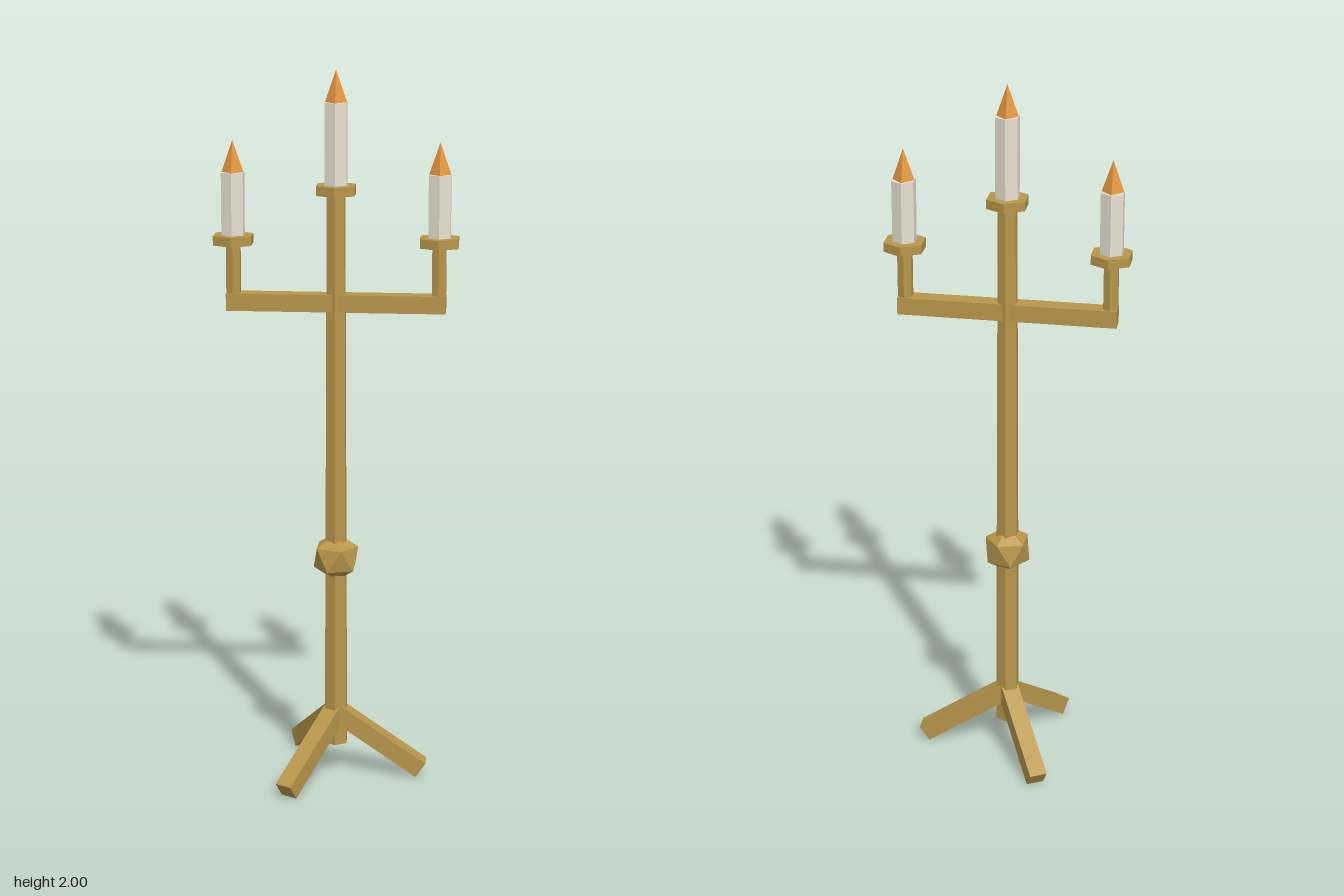
import * as THREE from 'three';

export function createModel() {
  const mat = (name, color) => {
    const m = new THREE.MeshStandardMaterial({ color });
    m.name = name;
    m.flatShading = true;
    return m;
  };
  const brass = mat('brass', 0xb8964a);
  const wax = mat('wax', 0xe8e2d2);
  const flameOrange = mat('flame orange', 0xe89a40);

  const model = new THREE.Group();
  model.name = 'candelabra';

  const add = (parent, name, geometry, material, x = 0, y = 0, z = 0) => {
    const mesh = new THREE.Mesh(geometry, material);
    mesh.name = name;
    mesh.position.set(x, y, z);
    parent.add(mesh);
    return mesh;
  };

  // Tapered prism standing between two heights
  const column = (parent, name, material, rTop, rBottom, y0, y1, sides = 6) =>
    add(parent, name, new THREE.CylinderGeometry(rTop, rBottom, y1 - y0, sides), material, 0, (y0 + y1) / 2);

  // Central pole
  column(model, 'pole', brass, 0.028, 0.035, 0.093, 1.67);

  // Faceted knob, turned so one corner points straight up
  const knob = new THREE.IcosahedronGeometry(0.07, 0);
  knob.rotateZ(-Math.atan(2 / (1 + Math.sqrt(5))));
  add(model, 'knob', knob, brass, 0, 0.643, 0);

  // Crossbar
  add(model, 'crossbar', new THREE.BoxGeometry(0.6, 0.048, 0.048), brass, 0, 1.368, 0);

  // Three splayed legs
  const slope = 0.6, length = 0.29;
  for (let i = 0; i < 3; i++) {
    const pivot = new THREE.Group();
    pivot.name = 'legPivot' + (i + 1);
    pivot.rotation.y = (i * Math.PI * 2) / 3;
    const leg = add(pivot, 'leg', new THREE.BoxGeometry(length, 0.05, 0.05), brass,
      0.243 - (Math.cos(slope) * length) / 2, 0.0206 + (Math.sin(slope) * length) / 2);
    leg.rotation.z = -slope;
    model.add(pivot);
  }

  // Drip tray, candle and flame
  const candle = (name, x, trayY, candleTop) => {
    const group = new THREE.Group();
    group.name = name;
    group.position.x = x;
    column(group, 'dripTray', brass, 0.06, 0.06, trayY, trayY + 0.026);
    column(group, 'candle', wax, 0.0345, 0.0345, trayY + 0.02, candleTop);
    add(group, 'flame', new THREE.ConeGeometry(0.03, 0.087, 4), flameOrange, 0, candleTop + 0.0435);
    model.add(group);
    return group;
  };
  candle('centreCandle', 0, 1.664, 1.913);
  for (const side of [-1, 1]) {
    const group = candle(side > 0 ? 'leftCandle' : 'rightCandle', side * 0.281, 1.525, 1.722);
    column(group, 'stem', brass, 0.022, 0.022, 1.38, 1.53);
  }

  return model;
}
